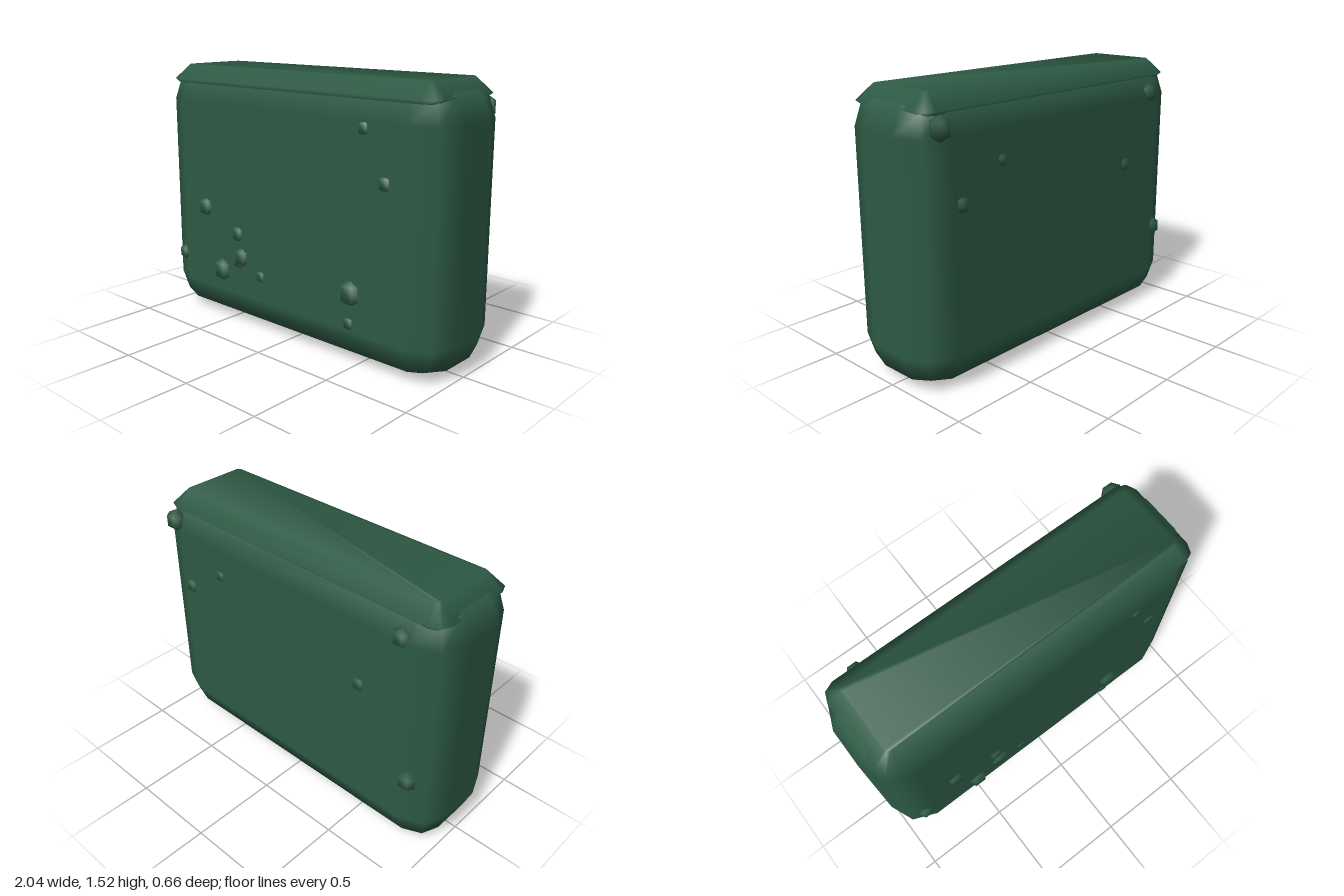
import * as THREE from 'three';
import { RoundedBoxGeometry } from 'three/addons/geometries/RoundedBoxGeometry.js';

// Horizontal ring of a rectangle with three-point rounded corners
function ring(y, hx, hz, r) {
  const pts = [];
  for (const [sx, sz, start] of [[1, 1, 0], [-1, 1, 90], [-1, -1, 180], [1, -1, 270]]) {
    for (const step of [0, 45, 90]) {
      const a = THREE.MathUtils.degToRad(start + step);
      pts.push([sx * (hx - r) + Math.cos(a) * r, y, sz * (hz - r) + Math.sin(a) * r, Math.cos(a), Math.sin(a)]);
    }
  }
  return pts;
}

// Bevelled slab lofted through rings, with soft normals
function capGeometry() {
  const rings = [ring(1.395, 0.93, 0.262, 0.05), ring(1.415, 0.965, 0.279, 0.08), ring(1.5, 0.88, 0.198, 0.02)];
  const tilt = [-0.3, 0.35, 1.6];
  const pos = [], nor = [], idx = [], n = 12;
  rings.forEach((pts, k) => pts.forEach(([x, y, z, nx, nz]) => {
    pos.push(x, y, z);
    nor.push(...new THREE.Vector3(nx, tilt[k], nz).normalize().toArray());
  }));
  for (let k = 0; k < 2; k++) {
    for (let i = 0; i < n; i++) {
      const a = k * n + i, b = k * n + (i + 1) % n;
      idx.push(a, a + n, b, b, a + n, b + n);
    }
  }
  for (let i = 1; i < n - 1; i++) {
    idx.push(2 * n, 2 * n + i + 1, 2 * n + i); // top
    idx.push(0, i, i + 1);                     // underside
  }
  const g = new THREE.BufferGeometry();
  g.setAttribute('position', new THREE.Float32BufferAttribute(pos, 3));
  g.setAttribute('normal', new THREE.Float32BufferAttribute(nor, 3));
  g.setIndex(idx);
  return g;
}

export function createModel() {
  const model = new THREE.Group();
  model.name = 'hedge';
  const leaf = new THREE.MeshStandardMaterial({ color: 0x2d5a44 });
  leaf.name = 'hedge green';

  // Main clipped block
  const body = new THREE.Mesh(new RoundedBoxGeometry(2.038, 1.508, 0.618, 1, 0.2), leaf);
  body.name = 'hedgeBody';
  body.position.set(0, 0.738, -0.005);
  model.add(body);

  // Trimmed top
  const cap = new THREE.Mesh(capGeometry(), leaf);
  cap.name = 'hedgeTop';
  model.add(cap);

  // Leaf clumps: x, y, radius
  const front = [
    [0.56, 1.26, 0.048], [0.695, 1, 0.052], [-0.64, 0.67, 0.068], [-0.365, 0.55, 0.058],
    [-0.335, 0.415, 0.068], [-0.36, 0.385, 0.055], [-0.505, 0.305, 0.08], [-0.18, 0.33, 0.048],
    [-0.87, 0.34, 0.047], [0.485, 0.395, 0.082], [0.475, 0.225, 0.048],
  ];
  const back = [
    [0.88, 1.34, 0.066], [0.77, 0.96, 0.055], [0.5, 1.13, 0.046],
    [-0.76, 1.31, 0.058], [-0.52, 0.92, 0.052], [-0.85, 0.46, 0.062],
  ];
  const clump = new THREE.SphereGeometry(1, 6, 3);
  const addClumps = (list, name, z) => {
    const group = new THREE.Group();
    group.name = name;
    for (const [x, y, r] of list) {
      const mesh = new THREE.Mesh(clump, leaf);
      mesh.name = 'leafClump';
      mesh.position.set(x, y, z);
      mesh.scale.set(r, r, r * 0.8);
      group.add(mesh);
    }
    model.add(group);
  };
  addClumps(front, 'frontLeafClumps', 0.283);
  addClumps(back, 'backLeafClumps', -0.293);

  return model;
}
